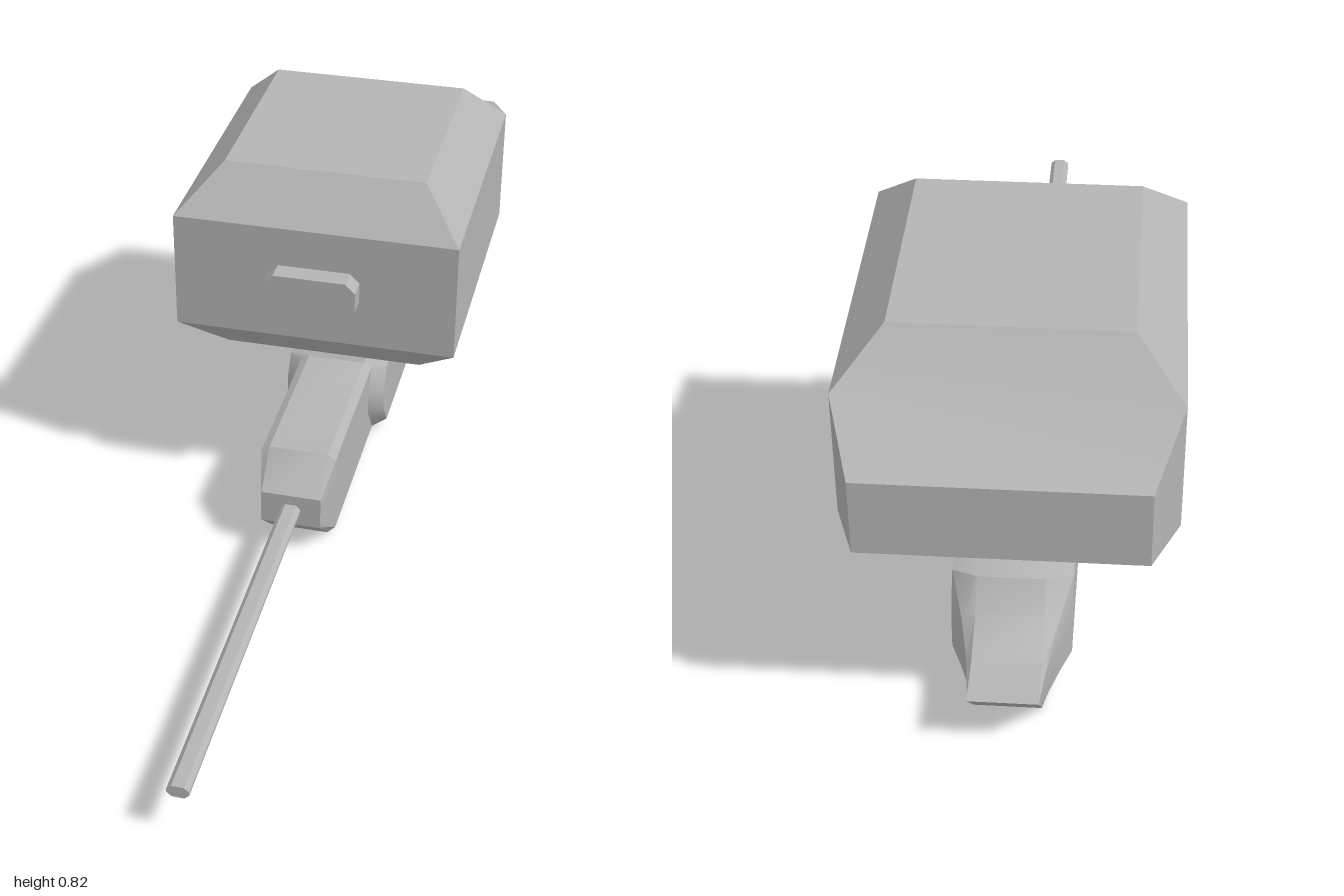
import * as THREE from 'three';
import { toCreasedNormals } from 'three/addons/utils/BufferGeometryUtils.js';

// Skin symmetric rings, listed back to front. Each ring holds its +x half, bottom to top.
function loft(halves) {
  const rings = halves.map((h) => [
    ...h.map((p) => new THREE.Vector3(...p)),
    ...[...h].reverse().map(([x, y, z]) => new THREE.Vector3(-x, y, z)),
  ]);
  const pos = [];
  const tri = (a, b, c) => {
    const area = b.clone().sub(a).cross(c.clone().sub(a)).length();
    if (area > 1e-7) for (const p of [a, b, c]) pos.push(p.x, p.y, p.z);
  };
  const quad = (a, b, c, d) => { tri(a, b, c); tri(a, c, d); };
  const n = rings[0].length;
  for (let r = 0; r < rings.length - 1; r++) {
    const A = rings[r], B = rings[r + 1];
    for (let i = 0; i < n; i++) {
      const j = (i + 1) % n;
      quad(A[i], A[j], B[j], B[i]);
    }
  }
  // End caps run as strips from side to side
  const back = rings[0], front = rings[rings.length - 1];
  for (let i = 0; i < n / 2 - 1; i++) {
    const l = n - 1 - i;
    quad(front[i], front[i + 1], front[l - 1], front[l]);
    quad(back[l], back[l - 1], back[i + 1], back[i]);
  }
  const g = new THREE.BufferGeometry();
  g.setAttribute('position', new THREE.Float32BufferAttribute(pos, 3));
  return toCreasedNormals(g, 0.55);
}

// Bar along z with a corner-cut rectangular section
function cutBar(w, h, cut, cy, z0, z1) {
  const x = w / 2, y = h / 2;
  const pts = [[x, -y + cut], [x, y - cut], [x - cut, y], [-x + cut, y],
    [-x, y - cut], [-x, -y + cut], [-x + cut, -y], [x - cut, -y]];
  const shape = new THREE.Shape(pts.map(([a, b]) => new THREE.Vector2(a, b)));
  const g = new THREE.ExtrudeGeometry(shape, { depth: z1 - z0, bevelEnabled: false });
  return g.translate(0, cy, z0);
}

export function createModel() {
  const group = new THREE.Group();
  const grey = new THREE.MeshStandardMaterial({ color: 0xb4b4b4 });
  grey.name = 'plain grey';
  const add = (name, geometry) => {
    const mesh = new THREE.Mesh(geometry, grey);
    mesh.name = name;
    group.add(mesh);
  };

  // Upper housing: bevelled box with a tapered rear
  const w = 0.325, t = 0.23;
  const belt = (zBelt, zCap) => [
    [t, 0.34, zCap], [w, 0.44, zBelt], [w, 0.44, zBelt],
    [w, 0.72, zBelt], [w, 0.72, zBelt], [t, 0.82, zCap],
  ];
  const rear = belt(-0.81, -0.72);
  rear[2] = [0.27, 0.5, -0.988];
  rear[3] = [0.27, 0.665, -0.988];
  add('upperHousing', loft([rear, belt(-0.81, -0.72), belt(-0.123, -0.225)]));

  // Sensor window block on the housing front
  add('frontSensor', cutBar(0.21, 0.092, 0.022, 0.58, -0.15, -0.075));

  // Neck flaring onto the lower body
  const neck = new THREE.Shape([
    [0.37, 0.215], [0.565, 0.215], [0.565, 0.225], [0.52, 0.272],
    [0.52, 0.36], [0.41, 0.36], [0.41, 0.272], [0.37, 0.225],
  ].map(([z, y]) => new THREE.Vector2(z, y)));
  add('neck', new THREE.ExtrudeGeometry(neck, { depth: 0.138, bevelEnabled: false })
    .translate(0, 0, -0.069).rotateY(Math.PI / 2));

  // Lower body: upswept tail, wide side pods, narrow front and bevelled nose
  add('lowerBody', loft([
    // tail tip
    [[0.069, 0, -0.88], [0.069, 0.018, -0.895], [0.069, 0.06, -0.931],
      [0.069, 0.09, -0.957], [0.069, 0.12, -0.982], [0.069, 0.135, -0.995]],
    // tail sweep
    [[0.069, 0, -0.84], [0.08, 0.015, -0.85], [0.082, 0.06, -0.86],
      [0.082, 0.09, -0.87], [0.08, 0.125, -0.88], [0.069, 0.136, -0.89]],
    [[0.069, 0, -0.79], [0.1, 0.024, -0.8], [0.1, 0.08, -0.8],
      [0.1, 0.115, -0.8], [0.096, 0.155, -0.8], [0.069, 0.172, -0.8]],
    // rear edge of the side pods
    [[0.069, 0, -0.75], [0.122, 0.038, -0.757], [0.122, 0.11, -0.757],
      [0.122, 0.16, -0.745], [0.122, 0.208, -0.715], [0.069, 0.226, -0.75]],
    // front edge of the side pods
    [[0.069, 0, -0.41], [0.122, 0.038, -0.415], [0.122, 0.1, -0.37],
      [0.122, 0.16, -0.37], [0.122, 0.208, -0.4], [0.069, 0.226, -0.375]],
    [[0.069, 0, -0.4], [0.088, 0.02, -0.4], [0.088, 0.1, -0.343],
      [0.088, 0.16, -0.343], [0.088, 0.214, -0.375], [0.069, 0.226, -0.374]],
    // shoulder and nose
    [[0.069, 0, 0.02], [0.088, 0.02, 0.02], [0.088, 0.1, 0.02],
      [0.088, 0.16, 0.02], [0.088, 0.214, 0.02], [0.069, 0.226, 0.02]],
    [[0.069, 0.074, 0.1], [0.07, 0.076, 0.1], [0.07, 0.1, 0.1],
      [0.07, 0.13, 0.1], [0.07, 0.152, 0.1], [0.069, 0.154, 0.1]],
  ]));

  // Long thin barrel
  add('barrel', cutBar(0.046, 0.028, 0.01, 0.115, 0.08, 1));

  return group;
}
